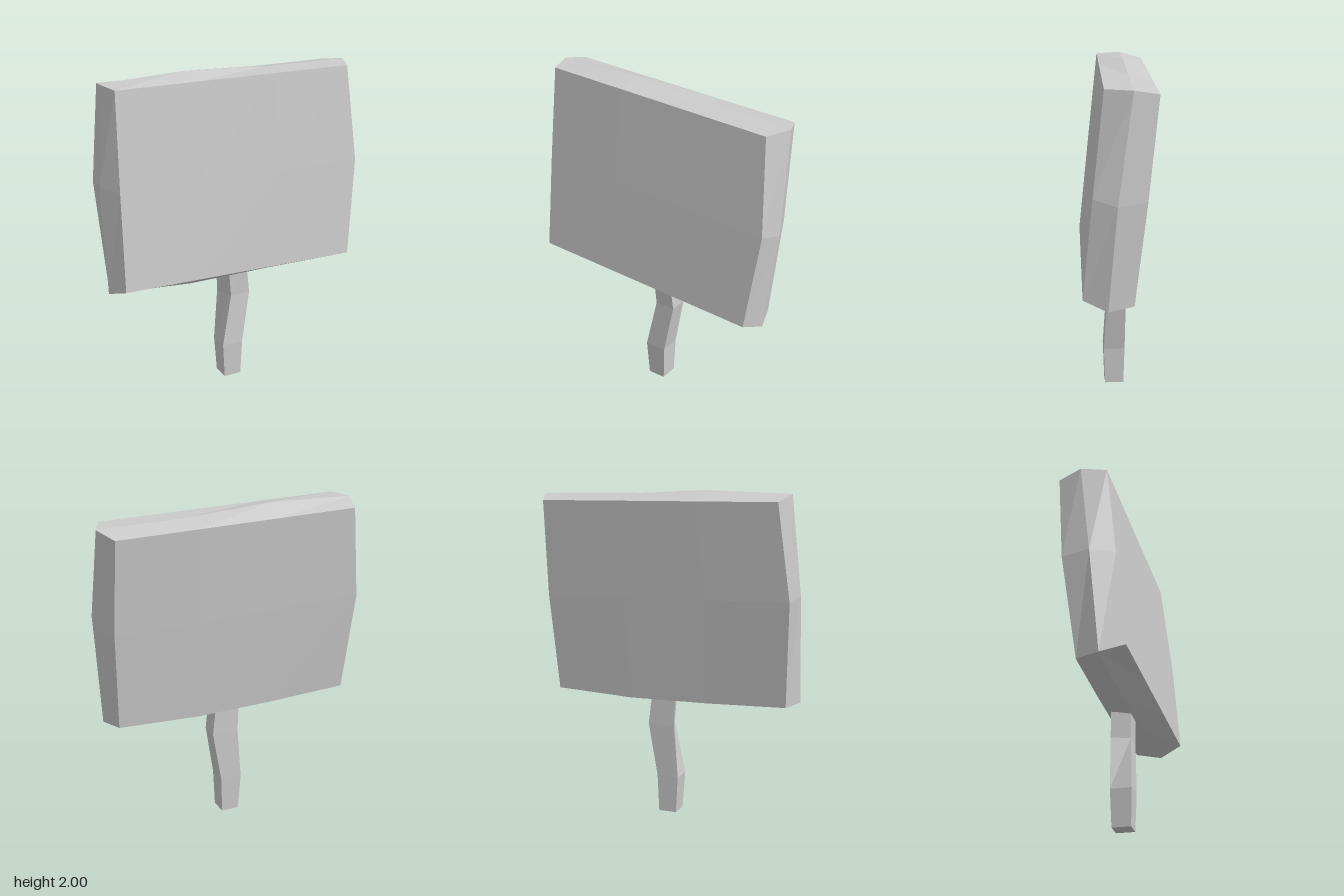
import * as THREE from 'three';

const material = new THREE.MeshStandardMaterial({ color: 0xcccccc, flatShading: true });

// Move every vertex of a segmented unit box by a rule on its grid position (0..1).
function shapedBox(name, sx, sy, sz, rule) {
  const geo = new THREE.BoxGeometry(1, 1, 1, sx, sy, sz).toNonIndexed();
  const pos = geo.attributes.position;
  for (let i = 0; i < pos.count; i++) {
    pos.setXYZ(i, ...rule(pos.getX(i) + 0.5, pos.getY(i) + 0.5, pos.getZ(i) + 0.5));
  }
  geo.computeVertexNormals();
  const mesh = new THREE.Mesh(geo, material);
  mesh.name = name;
  return mesh;
}

// Board edges: [layer back/middle/front][row bottom/middle/top] = left end, right end
const edges = [
  [
    [[-0.77, 0.745, -0.09], [0.72, 0.735, -0.07]],
    [[-0.805, 1.38, -0.175], [0.75, 1.34, -0.14]],
    [[-0.74, 1.95, -0.22], [0.745, 1.925, -0.2]],
  ],
  [
    [[-0.82, 0.75, 0.05], [0.77, 0.72, 0.08]],
    [[-0.825, 1.4, -0.01], [0.82, 1.33, 0.03]],
    [[-0.78, 1.985, -0.08], [0.805, 1.955, -0.055]],
  ],
  [
    [[-0.765, 0.805, 0.19], [0.72, 0.775, 0.22]],
    [[-0.755, 1.4, 0.13], [0.785, 1.37, 0.165]],
    [[-0.74, 1.98, 0.07], [0.74, 1.955, 0.1]],
  ],
];

// Small sag or rise of the two inner columns, keyed by layer and row: [dy, dz]
const bumps = {
  '0,0': [[-0.015, -0.005], [-0.02, -0.01]],
  '1,0': [[-0.03, 0], [-0.02, 0]],
  '1,2': [[0.025, 0], [0, 0]],
};

function boardRule(u, v, w) {
  const layer = Math.round(w * 2), row = Math.round(v * 2), col = Math.round(u * 3);
  const [a, b] = edges[layer][row];
  const p = a.map((value, k) => value + (b[k] - value) * u);
  const bump = bumps[`${layer},${row}`]?.[col - 1];
  if (bump) {
    p[1] += bump[0];
    p[2] += bump[1];
  }
  return p;
}

// Handle rings: y, front left x, back left x, right x, back z, front z
const rings = [
  [0, -0.065, -0.065, 0.047, -0.055, 0.06],
  [0.23, -0.08, -0.08, 0.055, -0.062, 0.068],
  [0.56, -0.015, -0.055, 0.112, -0.065, 0.05],
  [0.77, -0.035, -0.065, 0.088, -0.06, 0.056],
];

function handleRule(u, v, w) {
  const [y, frontLeft, backLeft, right, back, front] = rings[Math.round(v * 3)];
  const left = w > 0.5 ? frontLeft : backLeft;
  return [u > 0.5 ? right : left, y, w > 0.5 ? front : back];
}

export function createModel() {
  const group = new THREE.Group();
  group.name = 'signpost';
  group.add(
    shapedBox('board', 3, 2, 2, boardRule),
    shapedBox('post', 1, 3, 1, handleRule),
  );
  return group;
}
